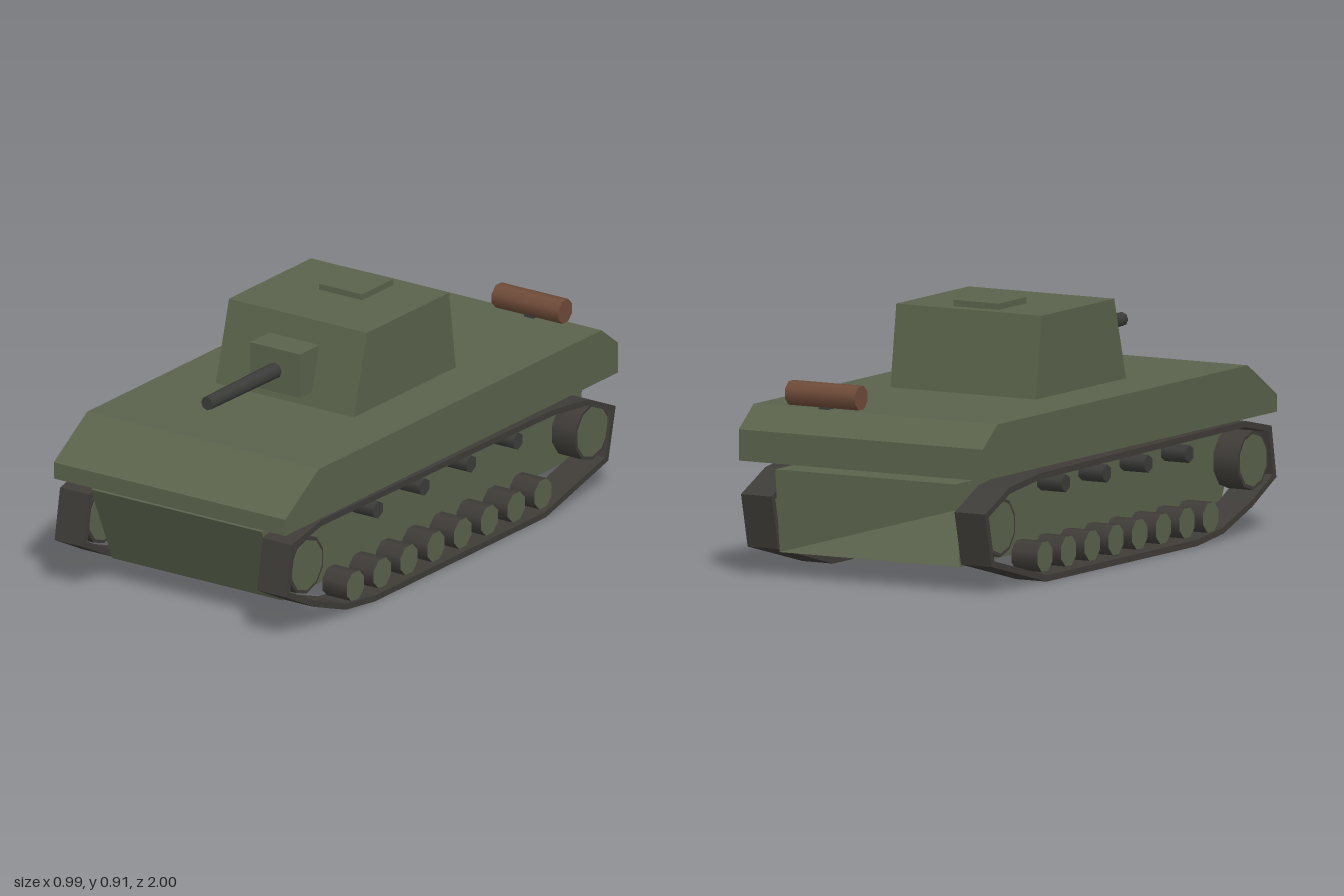
import * as THREE from 'three';

const green = new THREE.MeshStandardMaterial({ color: 0x5a634c, side: THREE.DoubleSide });
green.name = 'olive paint';
const trackGrey = new THREE.MeshStandardMaterial({ color: 0x3f3c38 });
trackGrey.name = 'track grey';
const gunMetal = new THREE.MeshStandardMaterial({ color: 0x3c3c3a });
gunMetal.name = 'gun metal';
const brown = new THREE.MeshStandardMaterial({ color: 0x6f4b39 });
brown.name = 'brown canvas';

function add(parent, name, geometry, material, x = 0, y = 0, z = 0) {
  const mesh = new THREE.Mesh(geometry, material);
  mesh.name = name;
  mesh.position.set(x, y, z);
  parent.add(mesh);
  return mesh;
}

const toPoints = (list) => list.map(([z, y]) => new THREE.Vector2(z, y));

// Side profile in (z, y), extruded across x and centred on x = 0
function sideExtrude(points, width, hole) {
  const shape = new THREE.Shape(points);
  if (hole) shape.holes.push(new THREE.Path(hole));
  const g = new THREE.ExtrudeGeometry(shape, { depth: width, bevelEnabled: false });
  g.translate(0, 0, -width / 2);
  g.rotateY(-Math.PI / 2);
  return g;
}

// Mitred inward offset of a counter-clockwise loop
function inset(points, d) {
  return points.map((p, i) => {
    const prev = points[(i + points.length - 1) % points.length];
    const next = points[(i + 1) % points.length];
    const a = p.clone().sub(prev).normalize();
    const b = next.clone().sub(p).normalize();
    const n1 = new THREE.Vector2(-a.y, a.x);
    const n2 = new THREE.Vector2(-b.y, b.x);
    const m = n1.clone().add(n2).normalize();
    return p.clone().addScaledVector(m, d / m.dot(n1));
  });
}

// Cylinder lying across the hull
function crossCylinder(r, width, sides) {
  const g = new THREE.CylinderGeometry(r, r, width, sides);
  g.rotateY(Math.PI / sides);
  g.rotateZ(-Math.PI / 2);
  return g;
}

// Lower hull tub: tapered box left open at the rear
function tubGeometry() {
  const w = 0.365;
  const section = (zLow, zHigh) => [
    [-w, 0.09, zLow], [w, 0.09, zLow], [w, 0.385, zHigh], [-w, 0.385, zHigh],
  ];
  const rear = section(-0.94, -0.97);
  const front = section(0.83, 0.96);
  const pos = [];
  const quad = (a, b, c, d) => pos.push(...a, ...b, ...c, ...a, ...c, ...d);
  quad(...front);
  for (let i = 0; i < 4; i++) {
    const j = (i + 1) % 4;
    quad(rear[i], rear[j], front[j], front[i]);
  }
  const g = new THREE.BufferGeometry();
  g.setAttribute('position', new THREE.Float32BufferAttribute(pos, 3));
  g.computeVertexNormals();
  return g;
}

function runningGear(side) {
  const group = new THREE.Group();
  group.name = side > 0 ? 'leftRunningGear' : 'rightRunningGear';
  const cx = side * 0.433;

  // Closed track band
  const loop = toPoints([
    [-0.565, 0.003], [0.46, 0.003], [0.635, 0.025], [0.83, 0.095], [0.995, 0.18], [0.962, 0.365],
    [0.785, 0.403], [0.4, 0.4], [-0.61, 0.39], [-0.82, 0.365], [-0.985, 0.29], [-0.94, 0.1],
  ]);
  add(group, 'track', sideExtrude(loop, 0.124, inset(loop, 0.022)), trackGrey, cx);

  // Road wheels with painted faces
  for (let i = 0; i < 8; i++) {
    add(group, 'roadWheel', crossCylinder(0.056, 0.105, 8), [trackGrey, green, green],
      cx, 0.09, 0.565 - i * 0.161);
  }
  // Return rollers
  for (let i = 0; i < 4; i++) {
    add(group, 'returnRoller', crossCylinder(0.032, 0.1, 6), gunMetal, cx, 0.33, 0.425 - i * 0.28);
  }
  // Drive sprocket and idler, each with a painted disc
  for (const [name, y, z] of [['driveSprocket', 0.255, 0.855], ['idlerWheel', 0.23, -0.86]]) {
    add(group, name, crossCylinder(0.105, 0.1, 10), trackGrey, cx, y, z);
    add(group, name + 'Disc', crossCylinder(0.093, 0.104, 10), green, cx, y, z);
  }
  return group;
}

export function createModel() {
  const model = new THREE.Group();
  model.name = 'tank';

  // Hull
  add(model, 'lowerHull', tubGeometry(), green);
  add(model, 'upperHull', sideExtrude(toPoints([
    [-1, 0.41], [1, 0.41], [1, 0.47], [0.8, 0.597], [-0.9, 0.597], [-1, 0.52],
  ]), 0.99), green);

  // Turret, hatch and mantlet
  add(model, 'turret', sideExtrude(toPoints([
    [-0.305, 0.597], [0.308, 0.597], [0.228, 0.887], [-0.265, 0.887],
  ]), 0.59), green);
  add(model, 'hatch', new THREE.BoxGeometry(0.184, 0.03, 0.19), green, 0, 0.894, -0.122);
  add(model, 'mantlet', new THREE.BoxGeometry(0.214, 0.162, 0.125), green, 0, 0.727, 0.304);

  // Gun barrel, slightly tapered
  const barrel = new THREE.CylinderGeometry(0.025, 0.029, 0.43, 8);
  barrel.rotateX(Math.PI / 2);
  add(model, 'gunBarrel', barrel, gunMetal, 0, 0.727, 0.56);

  // Rolled tarp on the rear deck
  add(model, 'tarpRoll', crossCylinder(0.045, 0.285, 8), brown, 0.215, 0.645, -0.875);
  add(model, 'tarpBracket', new THREE.BoxGeometry(0.04, 0.03, 0.04), gunMetal, 0.215, 0.6, -0.875);

  model.add(runningGear(1), runningGear(-1));
  return model;
}
